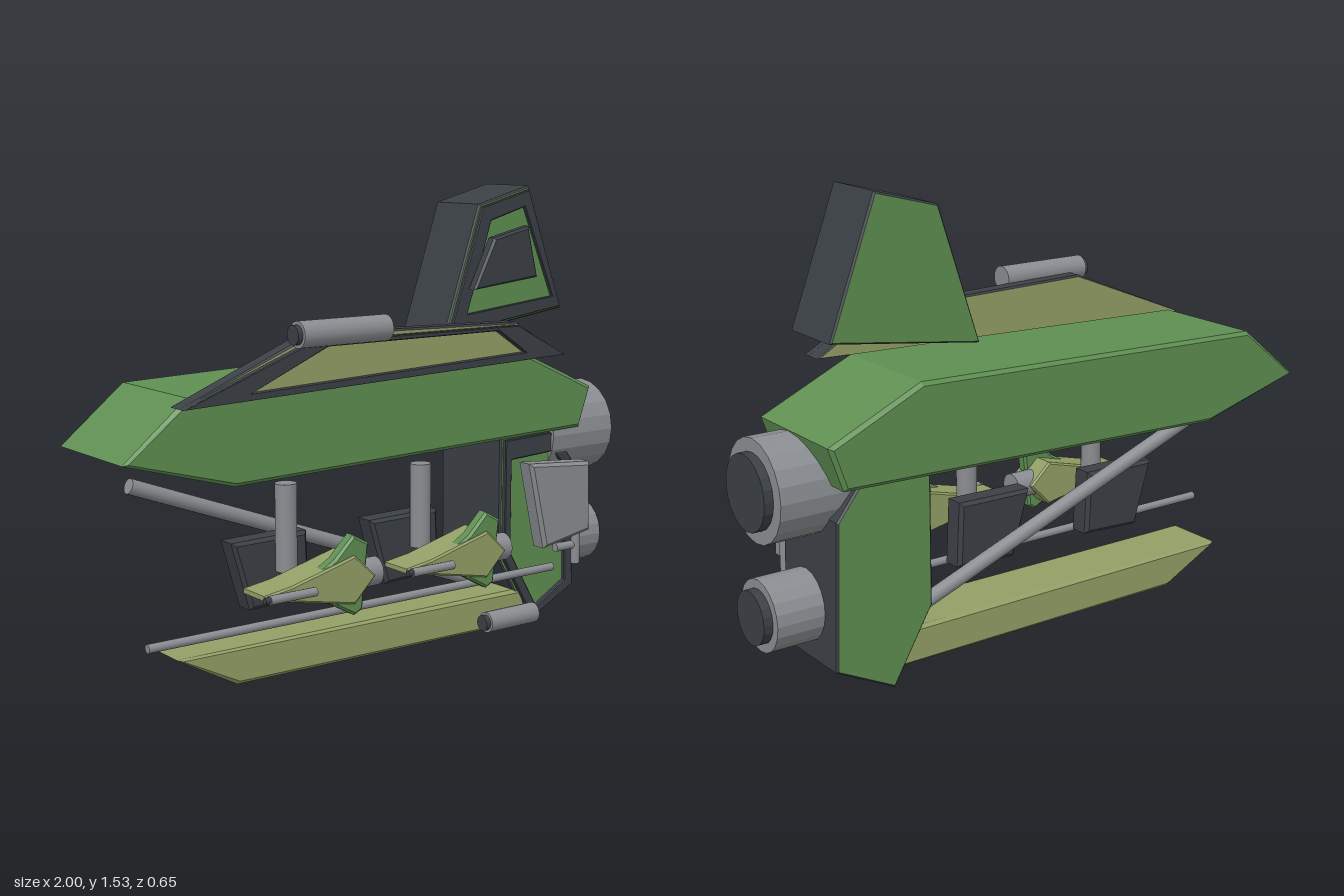
import * as THREE from 'three';

const mat = (name, color) => {
  const m = new THREE.MeshStandardMaterial({ color });
  m.name = name;
  return m;
};

export function createModel() {
  const green = mat('green', 0x5f8f52);
  const olive = mat('olive', 0x939f66);
  const dark = mat('charcoal', 0x3b4046);
  const grey = mat('grey', 0x8a8d91);
  const root = new THREE.Group();
  root.name = 'gunship';

  const add = (parent, name, geo, material) => {
    const mesh = new THREE.Mesh(geo, material);
    mesh.name = name;
    parent.add(mesh);
    return mesh;
  };
  const toV2 = (pts) => pts.map(([x, y]) => new THREE.Vector2(x, y));

  // Outline in x/y extruded from z0 to z1 with a small bevel inside the outline
  const slab = (parent, name, pts, z0, z1, material, bevel = 0.01, hole = null) => {
    const shape = new THREE.Shape(toV2(pts));
    if (hole) shape.holes.push(new THREE.Path(toV2(hole)));
    const geo = new THREE.ExtrudeGeometry(shape, {
      depth: z1 - z0 - 2 * bevel, bevelEnabled: bevel > 0,
      bevelThickness: bevel, bevelSize: bevel, bevelOffset: -bevel, bevelSegments: 1,
    });
    geo.translate(0, 0, z0 + bevel);
    return add(parent, name, geo, material);
  };

  // Cylinder between two points
  const rod = (parent, name, a, b, r, material, sides = 16, flat = false) => {
    const p = new THREE.Vector3(...a), q = new THREE.Vector3(...b);
    const dir = q.clone().sub(p);
    let geo = new THREE.CylinderGeometry(r, r, dir.length(), sides);
    if (flat) {
      geo = geo.toNonIndexed();
      geo.computeVertexNormals();
    }
    const mesh = add(parent, name, geo, material);
    mesh.position.copy(p).add(q).multiplyScalar(0.5);
    mesh.quaternion.setFromUnitVectors(new THREE.Vector3(0, 1, 0), dir.normalize());
    return mesh;
  };

  // Main hull
  slab(root, 'hull', [[-1, 0.76], [-0.62, 0.652], [0.8, 0.69], [0.85, 0.83],
    [0.53, 0.976], [-0.78, 0.94]], -0.33, 0.09, green, 0.012);

  // Canopy: olive faces, dark edges and a raised dark frame
  slab(root, 'canopy', [[-0.85, 0.922], [0.635, 0.97], [0.435, 1.092], [-0.39, 1.11]],
    0.1, 0.16, [olive, dark], 0.006);
  slab(root, 'canopyFrame', [[-0.85, 0.922], [0.635, 0.97], [0.425, 1.083], [-0.4, 1.088]],
    0.155, 0.183, dark, 0.003,
    [[-0.62, 0.95], [0.46, 0.99], [0.34, 1.07], [-0.34, 1.07]]);
  rod(root, 'canopyCannon', [-0.46, 1.115, 0.19], [-0.13, 1.115, 0.19], 0.042, grey);
  rod(root, 'canopyCannonCap', [-0.477, 1.115, 0.19], [-0.46, 1.115, 0.19], 0.031, dark);

  // Tail fin: green faces, dark edges, raised frame and centre panel
  slab(root, 'tailFin', [[0.255, 1.035], [0.78, 1.105], [0.622, 1.533], [0.402, 1.475]],
    -0.23, 0, [green, dark], 0.006);
  slab(root, 'tailFinFrame', [[0.272, 1.048], [0.765, 1.113], [0.615, 1.52], [0.41, 1.466]],
    -0.01, 0.012, dark, 0.003,
    [[0.347, 1.11], [0.727, 1.15], [0.595, 1.462], [0.447, 1.42]]);
  slab(root, 'tailFinPanel', [[0.335, 1.195], [0.615, 1.225], [0.572, 1.4], [0.42, 1.365]],
    0.022, 0.063, dark, 0.008);

  // Rear tower, built the same way
  slab(root, 'rearTower', [[0.61, 0.005], [0.815, 0.107], [0.8, 0.58], [0.715, 0.69],
    [0.47, 0.68], [0.47, 0.245]], -0.275, 0.045, [green, dark], 0.006);
  slab(root, 'rearTowerFrame', [[0.615, 0.018], [0.803, 0.113], [0.788, 0.572], [0.71, 0.678],
    [0.482, 0.67], [0.482, 0.25]], 0.035, 0.06, dark, 0.003,
  [[0.632, 0.06], [0.765, 0.135], [0.752, 0.56], [0.7, 0.61], [0.51, 0.6], [0.51, 0.27]]);
  slab(root, 'towerArmour', [[0.555, 0.303], [0.768, 0.34], [0.762, 0.585], [0.485, 0.607]],
    0.115, 0.187, grey, 0.012);
  rod(root, 'towerPipe', [0.772, 0.205, 0.105], [0.772, 0.455, 0.105], 0.016, grey);
  rod(root, 'towerPeg', [0.68, 0.272, 0.1], [0.765, 0.272, 0.1], 0.015, grey);

  // Engines
  for (const [label, y, x0, r, rCap] of [['upper', 0.664, 0.69, 0.163, 0.12], ['lower', 0.27, 0.78, 0.115, 0.086]]) {
    rod(root, label + 'Engine', [x0, y, -0.09], [0.97, y, -0.09], r, grey, 20, true);
    rod(root, label + 'EngineNozzle', [0.965, y, -0.09], [1, y, -0.09], rCap, dark, 20, true);
  }

  // Lower keel with its cannon
  slab(root, 'keel', [[-0.81, 0.13], [-0.595, 0.012], [0.615, 0.006], [0.57, 0.13]],
    -0.17, 0.05, olive, 0.012);
  rod(root, 'keelCannon', [0.3, 0.086, 0.178], [0.51, 0.086, 0.178], 0.035, grey);
  rod(root, 'keelCannonCap', [0.283, 0.086, 0.178], [0.3, 0.086, 0.178], 0.026, dark);

  // Brace and long rail
  rod(root, 'diagonalBrace', [-0.88, 0.655, -0.11], [0.56, 0.115, -0.11], 0.025, grey);
  rod(root, 'longRail', [-0.94, 0.205, 0.095], [0.67, 0.205, 0.095], 0.014, grey);

  // Two hanging gun pods
  [0, 0.53].forEach((dx, i) => {
    const pod = new THREE.Group();
    pod.name = 'gunPod' + (i + 1);
    pod.position.x = dx;
    root.add(pod);
    rod(pod, 'strut', [-0.43, 0.36, 0.072], [-0.43, 0.64, 0.072], 0.035, grey);
    slab(pod, 'backPad', [[-0.525, 0.23], [-0.3, 0.24], [-0.31, 0.46], [-0.59, 0.455]],
      -0.07, 0.015, dark, 0.012);
    slab(pod, 'podBody', [[-0.65, 0.345], [-0.55, 0.325], [-0.32, 0.28], [-0.24, 0.36],
      [-0.32, 0.435], [-0.55, 0.375], [-0.65, 0.36]], 0.165, 0.29, olive, 0.006);
    slab(pod, 'podFin', [[-0.47, 0.385], [-0.41, 0.295], [-0.315, 0.242], [-0.285, 0.258],
      [-0.275, 0.36], [-0.262, 0.465], [-0.32, 0.498], [-0.39, 0.43]], 0.237, 0.282, green, 0.008);
    rod(pod, 'podMotor', [-0.34, 0.355, 0.222], [-0.195, 0.355, 0.222], 0.046, grey);
    rod(pod, 'podBarrel', [-0.645, 0.352, 0.307], [-0.48, 0.352, 0.307], 0.014, grey);
    rod(pod, 'podMuzzle', [-0.662, 0.352, 0.307], [-0.645, 0.352, 0.307], 0.01, dark);
  });

  return root;
}
